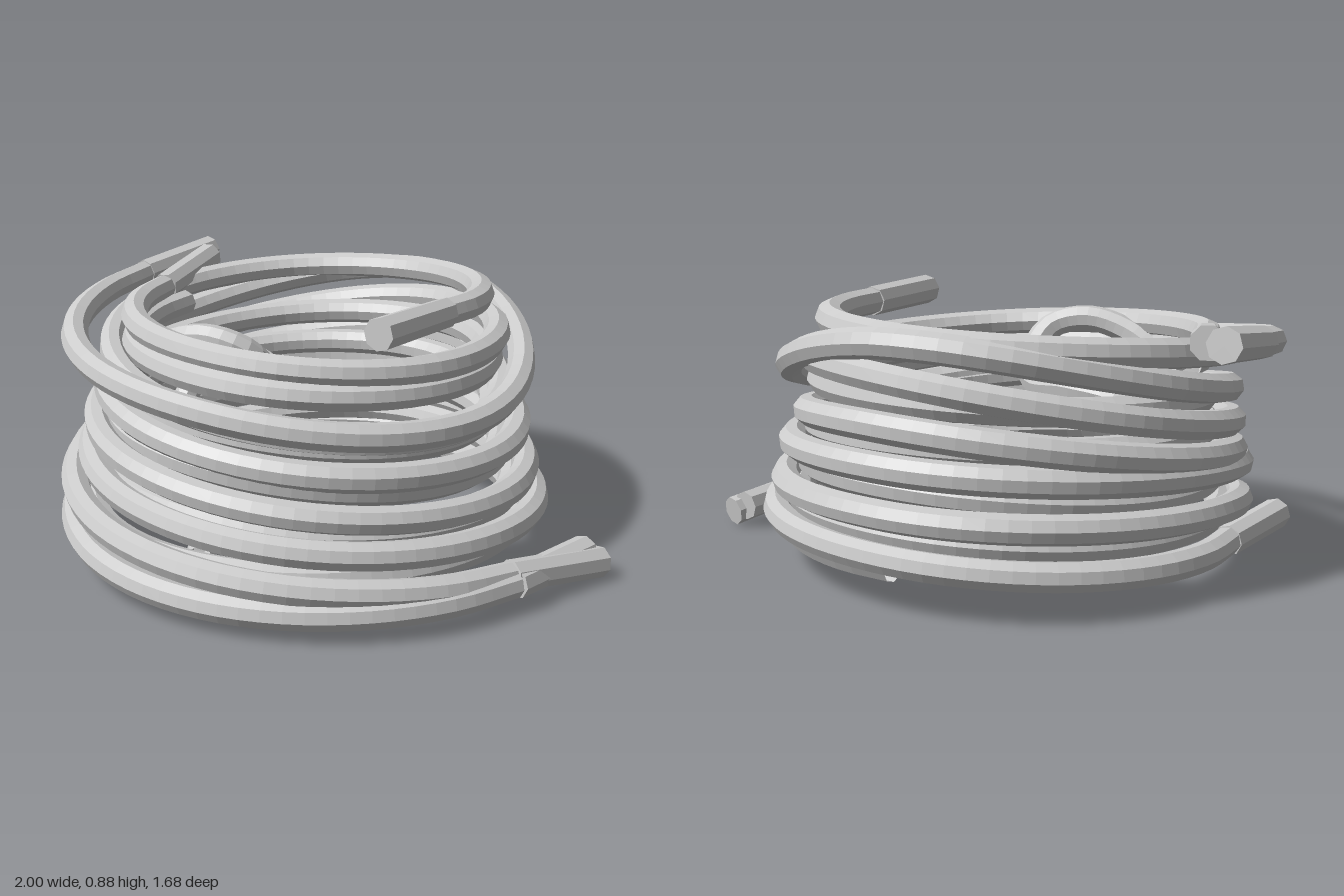
import * as THREE from 'three';

const SIDES = 8, HOSE_R = 0.046;
const CX = -0.06, CZ = -0.08; // axis of the coil

const material = new THREE.MeshStandardMaterial({ color: 0xcccccc, flatShading: true, side: THREE.DoubleSide });

// Each key is [radius, height], a quarter turn apart: left, front, right, back, ...
// firstQuarter picks the starting side; from/to trim the run in quarter turns.
const hoses = [
  { name: 'outerHose', firstQuarter: 0, from: 0, to: 9.93,
    keys: [[0.86, 0.78], [0.75, 0.64], [0.73, 0.55], [0.71, 0.80],
      [0.72, 0.63], [0.68, 0.48], [0.72, 0.40], [0.71, 0.44],
      [0.72, 0.37], [0.87, 0.21], [0.93, 0.10]],
    startTip: [-0.95, 0.82, -0.45], endTip: [0.95, 0.055, -0.36] },
  { name: 'middleHose', firstQuarter: 0, from: 0.08, to: 9.93,
    keys: [[0.67, 0.77], [0.54, 0.73], [0.59, 0.69], [0.70, 0.70],
      [0.72, 0.52], [0.74, 0.38], [0.77, 0.28], [0.71, 0.30],
      [0.72, 0.24], [0.88, 0.10], [0.95, 0.09]],
    startTip: [-0.87, 0.81, -0.37], endTip: [0.90, 0.08, -0.35] },
  { name: 'innerHose', firstQuarter: 2, from: 0.1, to: 10.12,
    keys: [[0.50, 0.83], [0.66, 0.81], [0.71, 0.74], [0.63, 0.57],
      [0.63, 0.48], [0.71, 0.56], [0.72, 0.42], [0.78, 0.28],
      [0.82, 0.19], [0.71, 0.17], [0.73, 0.12], [0.80, 0.12]],
    startTip: [0.49, 0.835, 0.22], endTip: [-0.82, 0.13, 0.40] },
];

// Inner layer of turns lying in the gaps between the outer ones
const innerLayer = { firstQuarter: 0, from: 0, to: 19,
  keys: [[0.63, 0.70], [0.57, 0.66], [0.59, 0.62], [0.65, 0.63],
    [0.64, 0.58], [0.62, 0.53], [0.62, 0.46], [0.65, 0.50],
    [0.64, 0.47], [0.67, 0.43], [0.67, 0.34], [0.65, 0.37],
    [0.64, 0.30], [0.73, 0.29], [0.73, 0.23], [0.66, 0.235],
    [0.65, 0.18], [0.80, 0.16], [0.77, 0.14], [0.66, 0.13]] };

function coilPoints({ keys, firstQuarter, from, to }) {
  const spline = new THREE.CatmullRomCurve3(
    keys.map(([r, y]) => new THREE.Vector3(r, y, 0)), false, 'catmullrom', 0.5);
  const steps = Math.round((to - from) * 6);
  const points = [];
  for (let i = 0; i <= steps; i++) {
    const q = from + (to - from) * i / steps;
    const k = spline.getPoint(q / (keys.length - 1));
    const a = (q + firstQuarter) * Math.PI / 2;
    points.push(new THREE.Vector3(CX - k.x * Math.cos(a), k.y, CZ + k.x * Math.sin(a)));
  }
  return points;
}

function tube(name, points, segments) {
  const curve = new THREE.CatmullRomCurve3(points);
  const mesh = new THREE.Mesh(new THREE.TubeGeometry(curve, segments, HOSE_R, SIDES), material);
  mesh.name = name;
  return mesh;
}

// Sleeve that widens slightly from the hose to its tip
function connector(name, base, tip) {
  const direction = tip.clone().sub(base);
  const mesh = new THREE.Mesh(
    new THREE.CylinderGeometry(0.052, 0.05, direction.length(), SIDES), material);
  mesh.name = name;
  mesh.position.copy(base).add(tip).multiplyScalar(0.5);
  mesh.quaternion.setFromUnitVectors(new THREE.Vector3(0, 1, 0), direction.normalize());
  return mesh;
}

export function createModel() {
  const model = new THREE.Group();
  model.name = 'coiledHose';

  // Three hoses wound down the coil together, a connector on each end
  for (const hose of hoses) {
    const points = coilPoints(hose);
    const group = new THREE.Group();
    group.name = hose.name;
    group.add(
      tube('hoseRun', points, 180),
      connector('startConnector', points[0], new THREE.Vector3(...hose.startTip)),
      connector('endConnector', points[points.length - 1], new THREE.Vector3(...hose.endTip)));
    model.add(group);
  }

  model.add(tube('innerLayer', coilPoints(innerLayer), 320));

  // Loose loop hanging inside the coil, both ends tucked into the turns
  const loop = [
    [-0.56, 0.54, 0.26], [-0.42, 0.60, 0.38], [-0.27, 0.70, 0.40], [-0.11, 0.75, 0.37],
    [0.01, 0.72, 0.31], [0.03, 0.62, 0.20], [-0.08, 0.56, 0.06], [-0.26, 0.57, -0.02],
    [-0.44, 0.54, -0.02], [-0.53, 0.43, 0.05], [-0.45, 0.26, 0.19], [-0.26, 0.17, 0.32],
    [-0.06, 0.14, 0.42], [0.12, 0.13, 0.62],
  ].map(p => new THREE.Vector3(...p));
  model.add(tube('innerLoop', loop, 70));

  return model;
}
